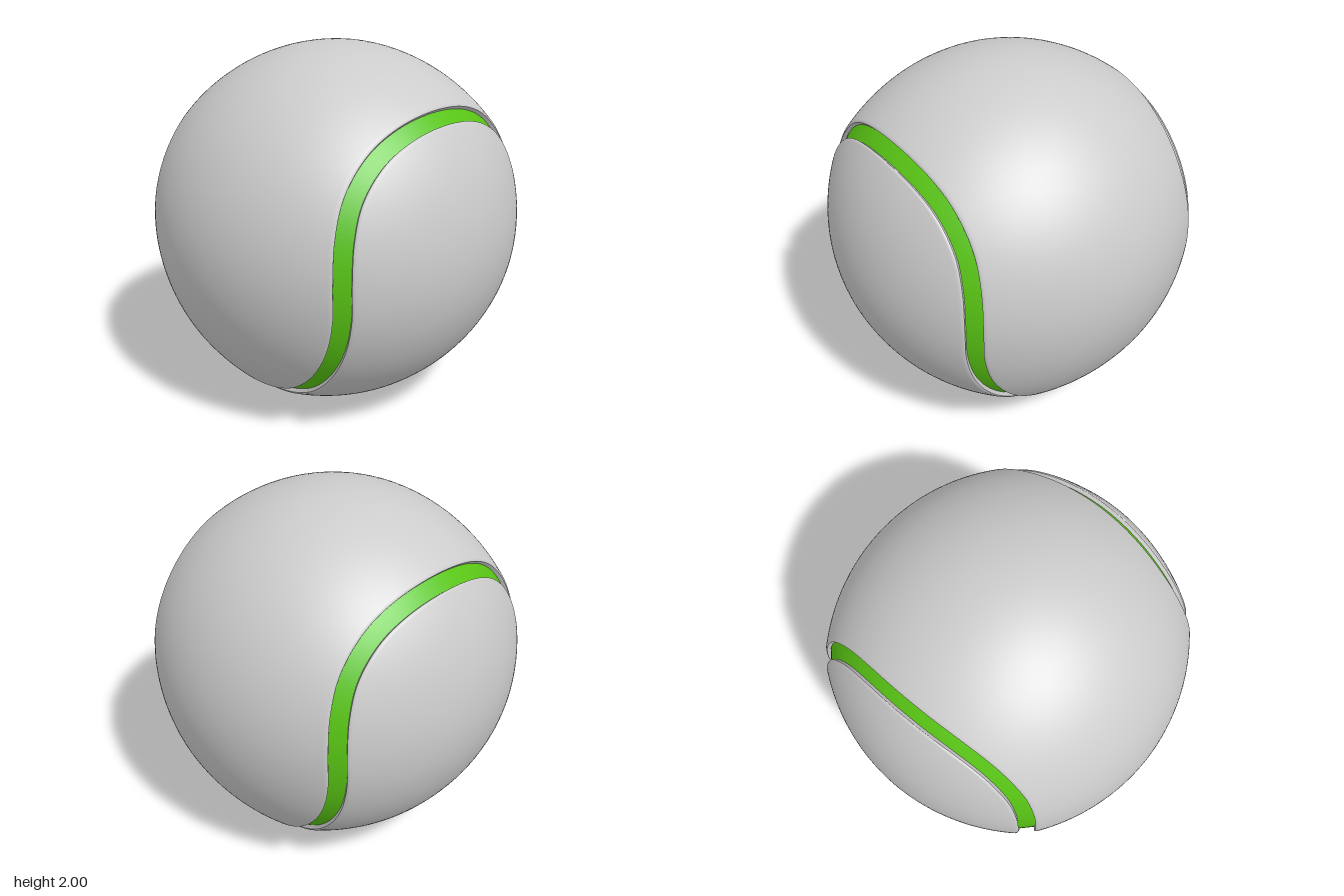
import * as THREE from 'three';

const N = 480;          // samples around the seam
const CROSS = 48;       // samples across a felt panel
const HALF = 0.045;     // half the groove width
const FLOOR = 0.997;    // radius of the seam floor

// One quarter of the seam, from front top to the bottom of the left side
const quarter = [
  [0, 0.70, 0.735], [0.30, 0.655, 0.722], [0.48, 0.555, 0.70], [0.62, 0.40, 0.695],
  [0.69, 0.22, 0.705], [0.72, 0, 0.72], [0.71, -0.19, 0.71], [0.69, -0.40, 0.644],
  [0.652, -0.61, 0.49], [0.61, -0.775, 0.27], [0.59, -0.83, 0],
].map((p) => new THREE.Vector3(...p).normalize());

// Mirror the quarter in z and then in x to close the loop
function seamSamples() {
  const mirror = (pts, x, z) => pts.map((p) => new THREE.Vector3(p.x * x, p.y, p.z * z));
  const half = [...quarter, ...mirror(quarter.slice(0, -1).reverse(), 1, -1)];
  const loop = [...half, ...mirror(half.slice(1, -1).reverse(), -1, 1)];
  const curve = new THREE.CatmullRomCurve3(loop, true, 'centripetal');
  curve.arcLengthDivisions = 2000;
  const pts = [];
  for (let i = 0; i < N; i++) pts.push(curve.getPointAt(i / N).normalize());
  return pts;
}

// Unit directions of a line running beside the seam at a given distance
function offsetLine(seam, d) {
  return seam.map((c, i) => {
    const t = seam[(i + 1) % N].clone().sub(seam[(i + N - 1) % N]);
    const side = new THREE.Vector3().crossVectors(c, t).normalize();
    return c.clone().addScaledVector(side, d).normalize();
  });
}

// Felt radius: swells gently towards the seam, with a softened lip
function feltPoint(dir, seam) {
  let best = -1;
  for (const s of seam) best = Math.max(best, dir.dot(s));
  const d = Math.acos(Math.min(1, best));
  const t = THREE.MathUtils.clamp(1 - (d - HALF) / 0.72, 0, 1);
  const base = 0.987 + 0.012 * dir.y ** 4;
  const lip = THREE.MathUtils.clamp(1 - (d - HALF) / 0.015, 0, 1);
  return dir.clone().multiplyScalar(base + (1.025 - base) * t * t - 0.007 * lip * lip);
}

// Skin rows of points into a smooth surface
function skin(rows) {
  const w = rows[0].length;
  const index = [];
  for (let i = 0; i < rows.length - 1; i++) {
    for (let j = 0; j < w - 1; j++) {
      const a = i * w + j, b = a + w;
      index.push(a, a + 1, b, a + 1, b + 1, b);
    }
  }
  const geo = new THREE.BufferGeometry().setFromPoints(rows.flat());
  geo.setIndex(index);
  geo.computeVertexNormals();
  return geo;
}

// Felt panel: ribs join each lip point to its mirror point across the panel
function panelGeometry(lip, seam, start, step, axis) {
  const rows = [];
  for (let i = 0; i <= N / 2; i++) {
    const a = lip[(start + step * i + N) % N].clone();
    if (i === 0 || i === N / 2) a.setComponent(axis, 0).normalize();
    const mid = a.clone().setComponent(axis, 0).normalize();
    const pole = new THREE.Vector3().setComponent(axis, 1);
    const reach = Math.asin(THREE.MathUtils.clamp(a.getComponent(axis), 0, 1));
    const row = [];
    for (let j = 0; j <= CROSS; j++) {
      const ang = reach * Math.cos(Math.PI * j / CROSS);
      const dir = mid.clone().multiplyScalar(Math.cos(ang)).addScaledVector(pole, Math.sin(ang));
      row.push(feltPoint(dir, seam));
    }
    rows.push(row);
  }
  return skin(rows);
}

// Closed band along the seam made from several lines of points
function bandGeometry(lines) {
  const rows = [];
  for (let i = 0; i <= N; i++) rows.push(lines.map((l) => l[i % N]));
  return skin(rows);
}

export function createModel() {
  const model = new THREE.Group();
  model.name = 'ball';
  const felt = new THREE.MeshStandardMaterial({ color: 0xcccccc });
  const wall = new THREE.MeshStandardMaterial({ color: 0xcccccc, side: THREE.DoubleSide });
  const green = new THREE.MeshStandardMaterial({ color: 0x58c414, side: THREE.DoubleSide });
  const add = (name, geo, mat) => {
    const mesh = new THREE.Mesh(geo, mat);
    mesh.name = name;
    mesh.position.y = 1;
    model.add(mesh);
  };

  const seam = seamSamples();
  let plus = offsetLine(seam, HALF);
  let minus = offsetLine(seam, -HALF);
  // the lower lip at the front top belongs to the front panel
  if (plus[0].y > minus[0].y) [plus, minus] = [minus, plus];

  // Two interlocking felt panels
  add('lowerFeltPanel', panelGeometry(plus, seam, 0, 1, 0), felt);
  add('upperFeltPanel', panelGeometry(minus, seam, N / 4, -1, 2), felt);

  // Cut edges of the felt
  [['lowerFeltEdge', plus], ['upperFeltEdge', minus]].forEach(([name, lip]) => {
    const top = lip.map((p) => feltPoint(p, seam));
    const bottom = lip.map((p) => p.clone().multiplyScalar(FLOOR - 0.01));
    add(name, bandGeometry([top, bottom]), wall);
  });

  // Coloured seam at the bottom of the groove
  const lines = [-0.05, -0.025, 0, 0.025, 0.05].map((d) =>
    offsetLine(seam, d).map((p) => p.multiplyScalar(FLOOR)));
  add('seam', bandGeometry(lines), green);

  return model;
}
